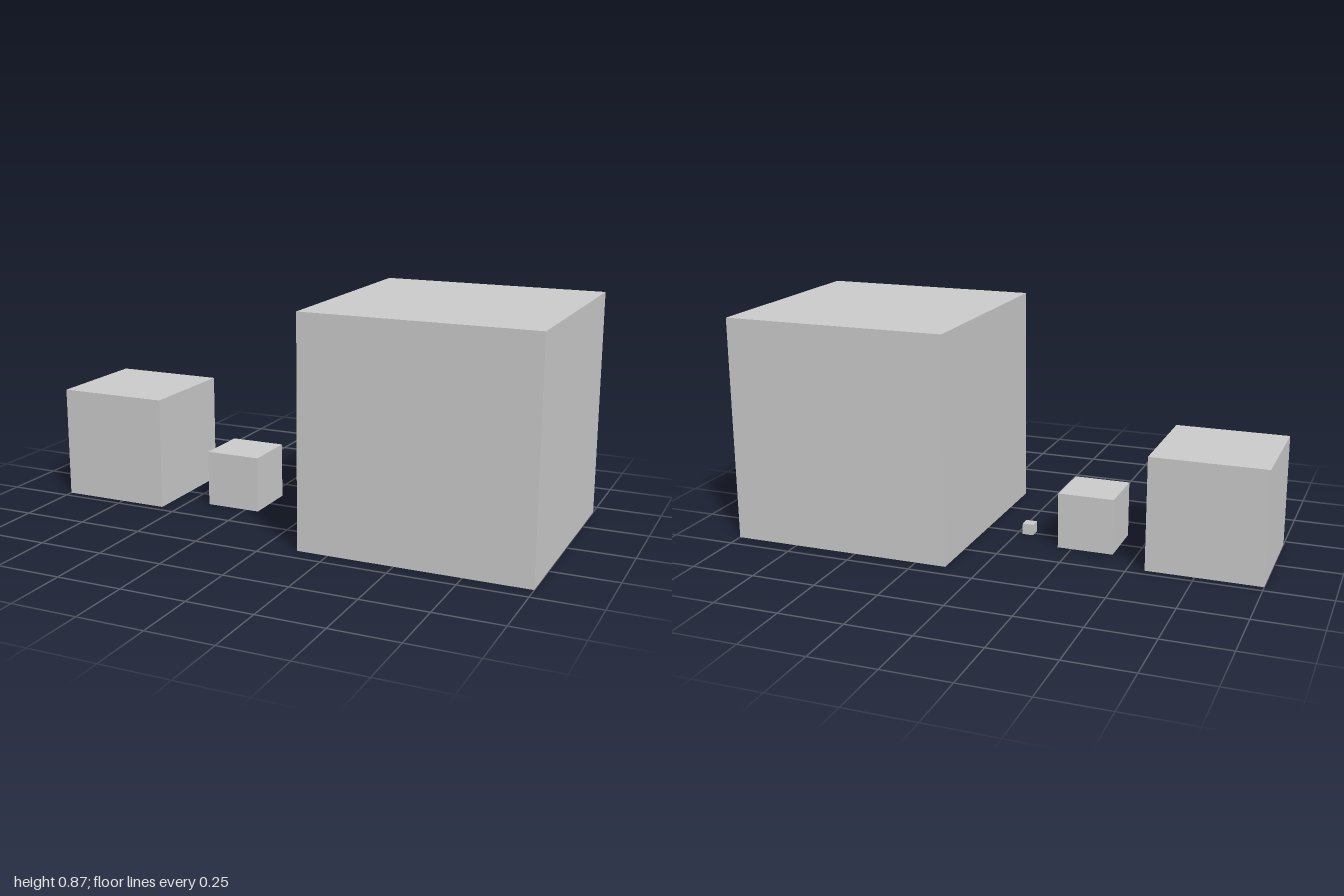
import * as THREE from 'three';

// One unit is the edge of the smallest cube; the whole row is 46 units long
const U = 2 / 46;

// name, edge length and x centre, in units
const CUBES = [
  ['mediumCube', 10, -18],
  ['smallCube', 5, -7],
  ['tinyCube', 1, -1],
  ['largeCube', 20, 13],
];

export function createModel() {
  const group = new THREE.Group();
  group.name = 'cubeRow';
  const material = new THREE.MeshStandardMaterial({ color: 0xcccccc });

  // Row of cubes resting on the ground, centred on z = 0
  for (const [name, edge, x] of CUBES) {
    const size = edge * U;
    const cube = new THREE.Mesh(new THREE.BoxGeometry(size, size, size), material);
    cube.name = name;
    cube.position.set(x * U, size / 2, 0);
    group.add(cube);
  }
  return group;
}
